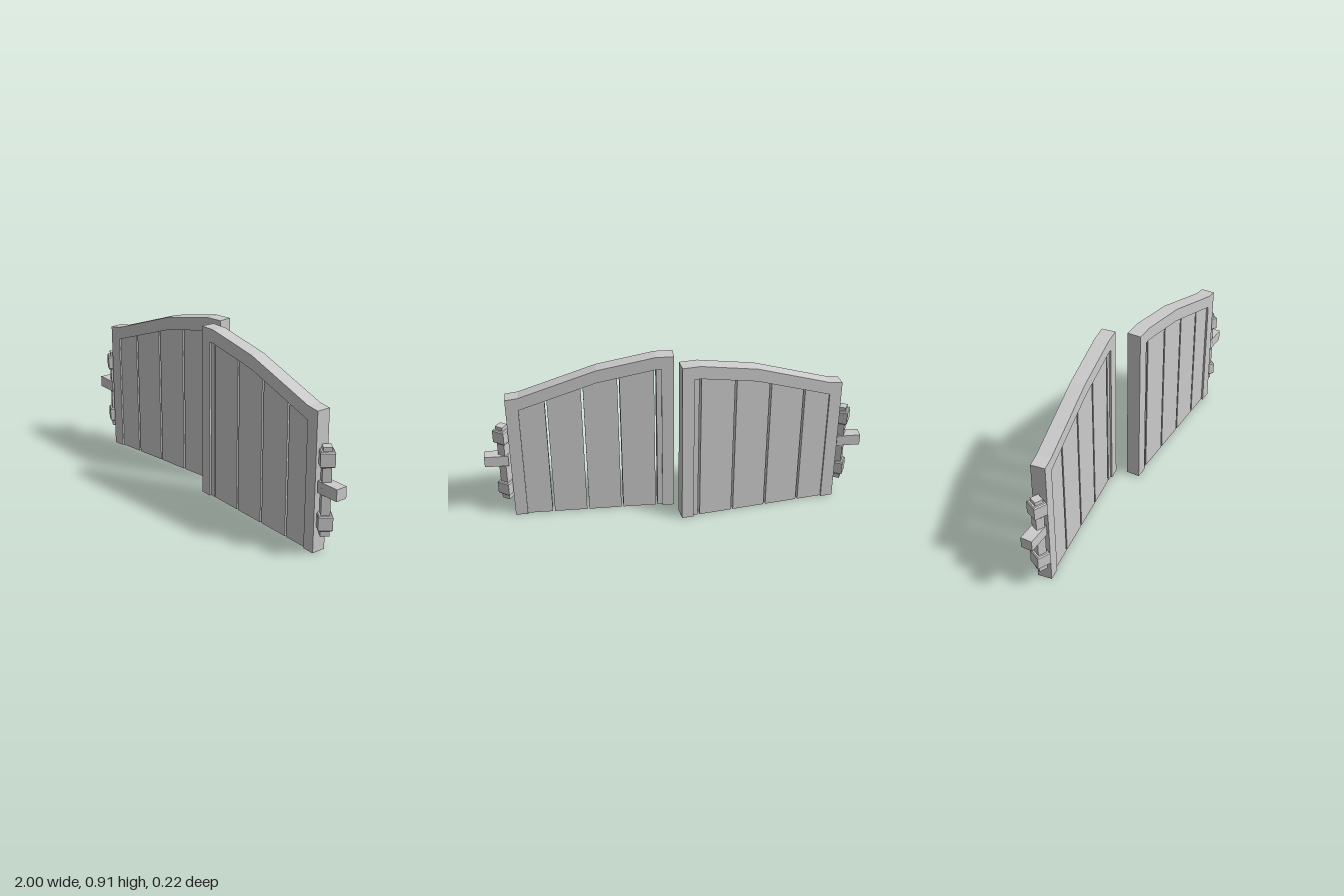
import * as THREE from 'three';

const material = new THREE.MeshStandardMaterial({ color: 0xcccccc, flatShading: true });
const DEPTH = 0.073, RECESS = 0.01;
const PIVOT_X = 0.897, PIVOT_Z = 0.0615;

// Arched top edge of a leaf, and the lower arch bounding its recessed panel
const ARCH = [[0.007, 0.912], [0.1, 0.912], [0.4, 0.855], [0.8, 0.72], [0.865, 0.712]];
const INNER = [[0.07, 0.842], [0.1, 0.842], [0.4, 0.785], [0.8, 0.65]];
const SLITS = [0.102, 0.289, 0.475, 0.661];
const SLIT_WIDTH = 0.011;

function addMesh(parent, name, geometry, x = 0, y = 0, z = 0) {
  const mesh = new THREE.Mesh(geometry, material);
  mesh.name = name;
  mesh.position.set(x, y, z);
  parent.add(mesh);
  return mesh;
}

// Flat board from an outline, centred on z = 0
function board(points, depth) {
  const shape = new THREE.Shape(points.map(([x, y]) => new THREE.Vector2(x, y)));
  return new THREE.ExtrudeGeometry(shape, { depth, bevelEnabled: false }).translate(0, 0, -depth / 2);
}

// Height of the panel's arch at x
function innerHeight(x) {
  for (let i = 1; i < INNER.length; i++) {
    const [x0, y0] = INNER[i - 1], [x1, y1] = INNER[i];
    if (x <= x1) return y0 + (y1 - y0) * (x - x0) / (x1 - x0);
  }
  return INNER[INNER.length - 1][1];
}

// Square bar turned from a profile of [half width, height]
function squareBar(profile) {
  const points = profile.map(([w, y]) => new THREE.Vector2(w * Math.SQRT2, y));
  return new THREE.LatheGeometry(points, 4, Math.PI / 4).toNonIndexed();
}

// One leaf in its closed position; side is +1 or -1
function createLeaf(side) {
  const leaf = new THREE.Group();
  const mirror = (points) => points.map(([x, y]) => [x * side, y]);

  // Surrounding frame, open at the bottom
  const outline = [
    [0.007, 0], ...ARCH, [0.865, 0],
    [0.8, 0], ...[...INNER].reverse(), [0.07, 0],
  ];
  addMesh(leaf, 'frame', board(mirror(outline), DEPTH));

  // Recessed planks with open slits between them
  const half = SLIT_WIDTH / 2;
  const starts = [0.07, ...SLITS.map((x) => x + half)];
  const ends = [...SLITS.map((x) => x - half), 0.8];
  starts.forEach((a, i) => {
    const b = ends[i];
    const tops = [a, ...INNER.map((p) => p[0]).filter((x) => x > a && x < b), b];
    const points = [[a, 0], ...tops.map((x) => [x, innerHeight(x)]), [b, 0]];
    addMesh(leaf, 'plank', board(mirror(points), DEPTH - 2 * RECESS));
  });

  // Hinge: a skewed square pin with two chamfered collars
  const hinge = new THREE.Group();
  hinge.name = 'hinge';
  hinge.position.x = PIVOT_X * side;
  hinge.rotation.y = -0.6;
  addMesh(hinge, 'hingePin', squareBar([[0, 0.1], [0.022, 0.1], [0.022, 0.548], [0, 0.548]]));
  const collar = [[0, 0], [0.03, 0], [0.035, 0.006], [0.035, 0.072], [0.03, 0.078], [0, 0.078]];
  for (const y of [0.131, 0.45]) addMesh(hinge, 'hingeCollar', squareBar(collar), 0, y, 0);
  leaf.add(hinge);
  return leaf;
}

export function createModel() {
  const model = new THREE.Group();
  model.name = 'doubleGate';
  for (const side of [1, -1]) {
    const name = side > 0 ? 'left' : 'right';
    // Leaf turns about its hinge; the right one stands ajar
    const leaf = createLeaf(side);
    leaf.name = name + 'Leaf';
    leaf.position.x = -PIVOT_X * side;
    const pivot = new THREE.Group();
    pivot.name = name + 'Pivot';
    pivot.position.set(PIVOT_X * side, 0, PIVOT_Z);
    pivot.rotation.y = side > 0 ? 0 : 0.147;
    pivot.add(leaf);
    model.add(pivot);

    // Wall bar holding the hinge
    addMesh(model, name + 'WallBar', new THREE.BoxGeometry(0.125, 0.06, 0.061), 0.9375 * side, 0.345, PIVOT_Z);
  }
  return model;
}
